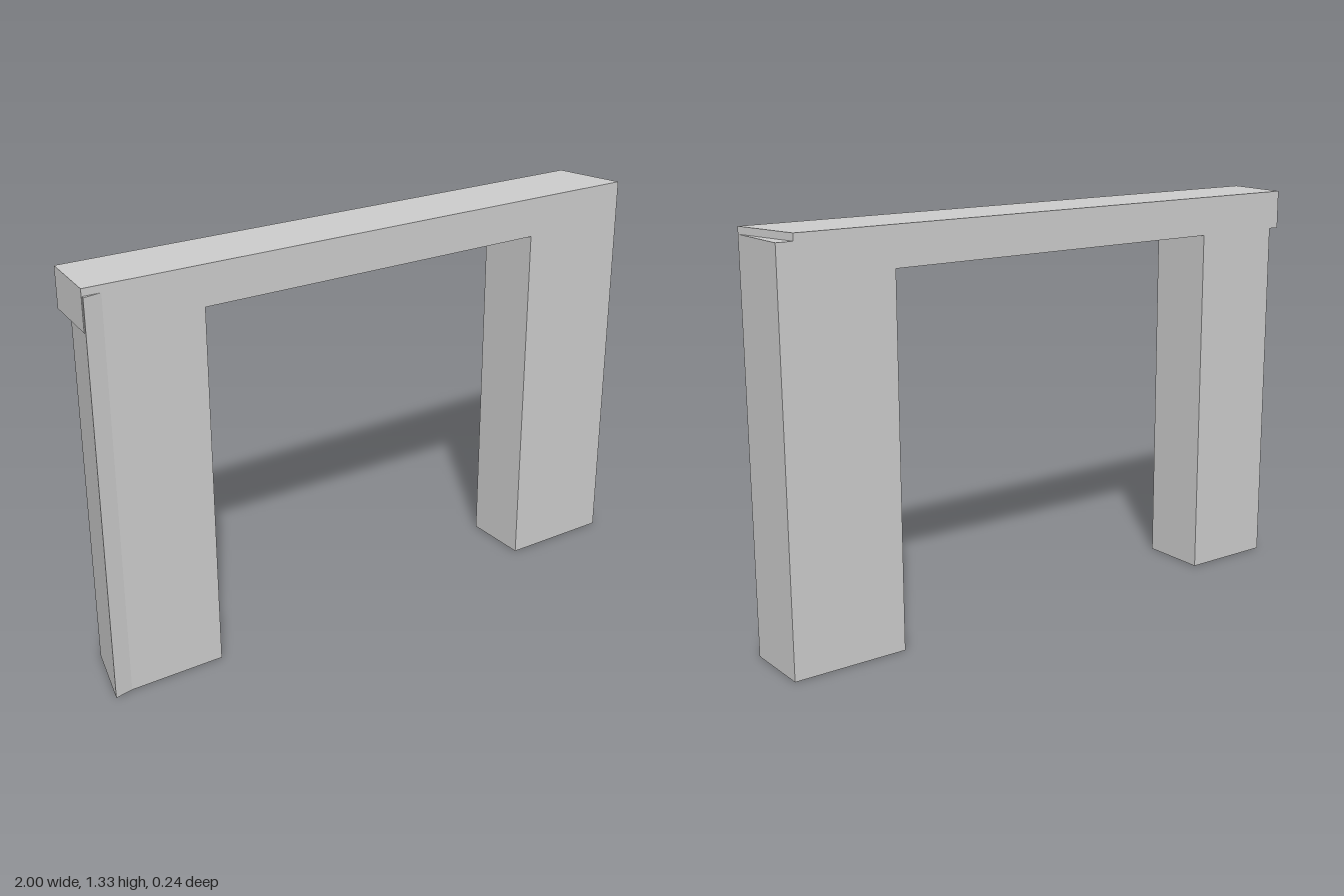
import * as THREE from 'three';

const material = new THREE.MeshStandardMaterial({ color: 0xcccccc, flatShading: true });
const FRONT = 0.11, BACK = -0.122;

// Upright prism over a plan outline of [x, z] points
function prism(name, plan, bottom, top) {
  const shape = new THREE.Shape(plan.map(([x, z]) => new THREE.Vector2(x, -z)));
  const geometry = new THREE.ExtrudeGeometry(shape, { depth: top - bottom, bevelEnabled: false });
  geometry.rotateX(-Math.PI / 2).translate(0, bottom, 0);
  const mesh = new THREE.Mesh(geometry, material);
  mesh.name = name;
  return mesh;
}

export function createModel() {
  const group = new THREE.Group();
  group.name = 'gateway';

  // Left post: square block
  group.add(prism('leftPost', [[0.615, FRONT], [1, FRONT], [1, BACK], [0.615, BACK]], 0, 1.31));

  // Right post: outer side skewed, front corner drawn slightly forward
  group.add(prism('rightPost',
    [[-0.62, BACK], [-0.94, BACK], [-1, 0.122], [-0.94, FRONT], [-0.62, FRONT]], 0, 1.31));

  // Lintel: skewed ends, rising just above the posts
  group.add(prism('lintel',
    [[-1, FRONT], [1, FRONT], [0.945, BACK], [-0.978, BACK]], 1.203, 1.333));

  return group;
}
